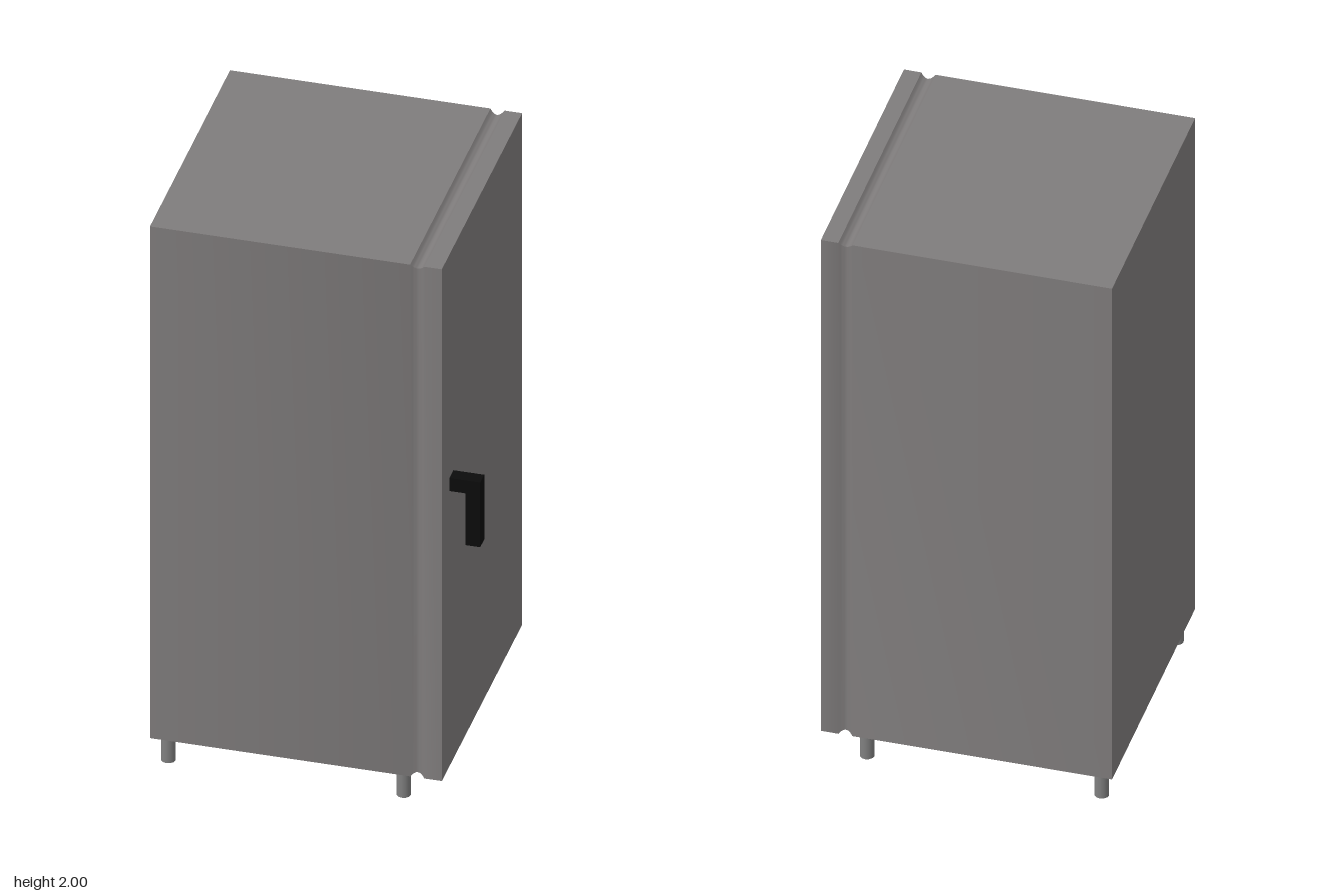
import * as THREE from 'three';
import { toCreasedNormals } from 'three/addons/utils/BufferGeometryUtils.js';

// Box lofted along x from rectangular rings, so the door groove runs round all four sides
function cabinetGeometry() {
  const rings = [[-0.525, 0]];
  const grooveX = 0.345, grooveHalf = 0.023, steps = 8;
  for (let i = 0; i <= steps; i++) {
    const t = (i / steps) * 2 - 1;
    rings.push([grooveX + t * grooveHalf, 1 - t * t]);
  }
  rings.push([0.425, 0]);

  const corners = rings.map(([x, inset]) => {
    const hy = 0.95 - 0.015 * inset, hz = 0.475 - 0.0075 * inset;
    return [[-1, -1], [1, -1], [1, 1], [-1, 1]].map(([sy, sz]) => [x, 1.05 + sy * hy, sz * hz]);
  });
  const positions = [];
  const quad = (a, b, c, d) => positions.push(...a, ...b, ...c, ...a, ...c, ...d);

  for (let i = 0; i < corners.length - 1; i++) {
    for (let k = 0; k < 4; k++) {
      const n = (k + 1) % 4;
      quad(corners[i][k], corners[i][n], corners[i + 1][n], corners[i + 1][k]);
    }
  }
  const [p0, p1, p2, p3] = corners[corners.length - 1];
  quad(p0, p1, p2, p3);
  const [q0, q1, q2, q3] = corners[0];
  quad(q3, q2, q1, q0);

  const geometry = new THREE.BufferGeometry();
  geometry.setAttribute('position', new THREE.Float32BufferAttribute(positions, 3));
  return toCreasedNormals(geometry, 0.6);
}

export function createModel() {
  const model = new THREE.Group();
  model.name = 'cabinet';

  const bodyGrey = new THREE.MeshStandardMaterial({ color: 0x7f7c7c });
  bodyGrey.name = 'body grey';
  const legGrey = new THREE.MeshStandardMaterial({ color: 0x808080 });
  legGrey.name = 'leg grey';
  const handleBlack = new THREE.MeshStandardMaterial({ color: 0x0b0b0b });
  handleBlack.name = 'handle black';

  const add = (name, geometry, material, x = 0, y = 0, z = 0) => {
    const mesh = new THREE.Mesh(geometry, material);
    mesh.name = name;
    mesh.position.set(x, y, z);
    model.add(mesh);
  };

  // Cabinet body with its door
  add('body', cabinetGeometry(), bodyGrey);

  // Four round feet
  const legGeometry = new THREE.CylinderGeometry(0.0235, 0.0235, 0.1, 12);
  for (const x of [-0.478, 0.288]) {
    for (const z of [-0.427, 0.427]) add('leg', legGeometry, legGrey, x, 0.05, z);
  }

  // L-shaped door handle
  const outline = new THREE.Shape([
    [0.425, 1.17], [0.425, 1.122], [0.477, 1.122], [0.477, 0.93], [0.525, 0.93], [0.525, 1.17],
  ].map(([x, y]) => new THREE.Vector2(x, y)));
  const handleGeometry = new THREE.ExtrudeGeometry(outline, { depth: 0.048, bevelEnabled: false });
  add('handle', handleGeometry, handleBlack, 0, 0, 0.337);

  return model;
}
